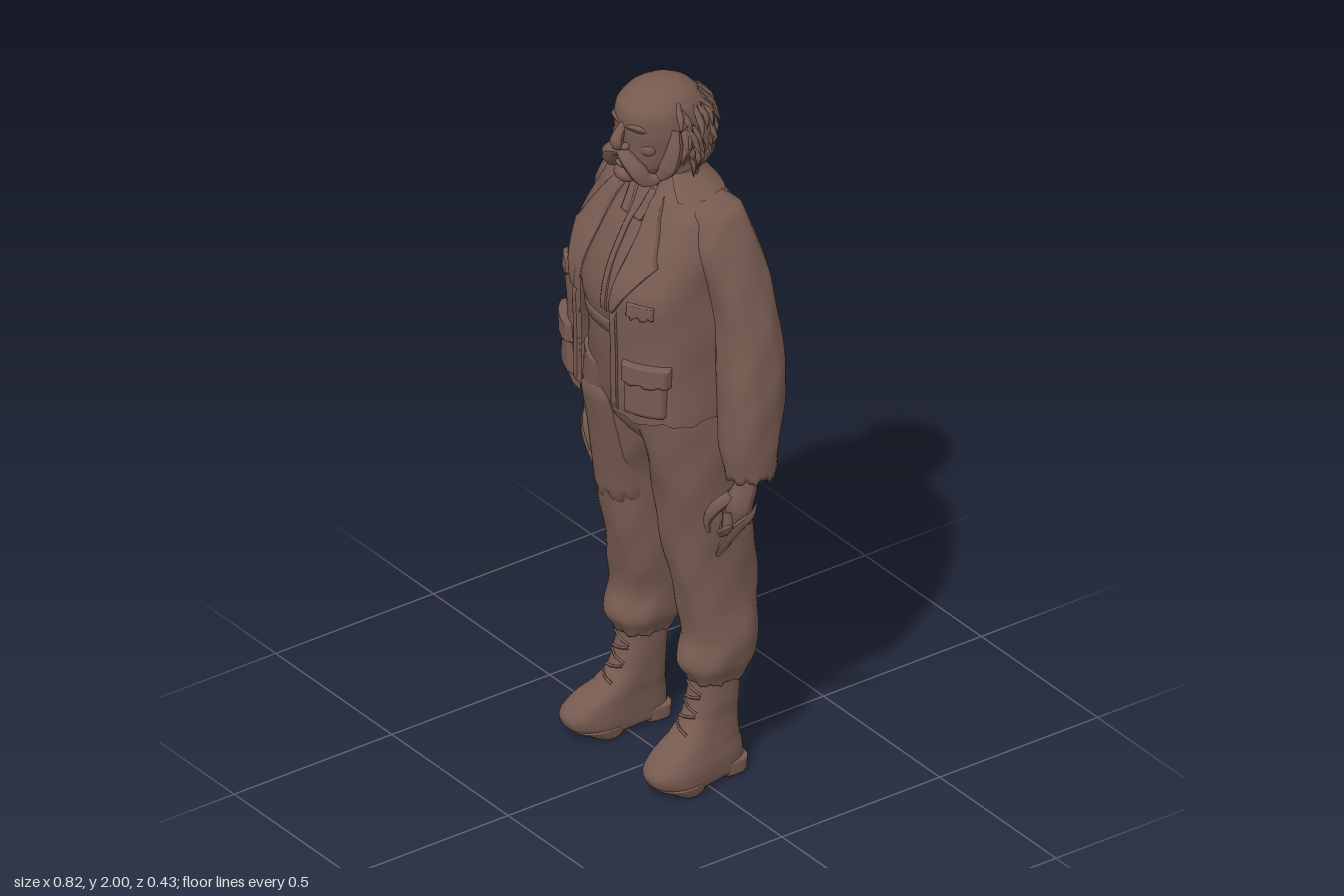
import * as THREE from 'three';

const cloth = new THREE.MeshStandardMaterial({ color: 0x765a50, side: THREE.DoubleSide });
cloth.name = 'brown clay';
const MID = -0.035, TAU = Math.PI * 2;
const flip = x => 2 * MID - x;
const mirror = rows => rows.map(([y, cx, ...rest]) => [y, flip(cx), ...rest]);
const power = (w, e) => Math.sign(w) * Math.abs(w) ** e;
const cubic = (a, b, c, d, t) => b + 0.5 * t * (c - a + t * (2 * a - 5 * b + 4 * c - d + t * (3 * (b - c) + d - a)));
let seed = 7;
const rand = () => (seed = (seed * 16807) % 2147483647) / 2147483647;

// Cross-sections are [y, centre x, half width, front z, back z], listed from the top down.
function section(rows, y) {
  let i = 0;
  while (i < rows.length - 2 && y < rows[i + 1][0]) i++;
  const at = k => rows[Math.min(rows.length - 1, Math.max(0, k))];
  const t = Math.min(1, Math.max(0, (y - rows[i][0]) / (rows[i + 1][0] - rows[i][0])));
  return rows[0].map((_, c) => c ? cubic(at(i - 1)[c], at(i)[c], at(i + 1)[c], at(i + 2)[c], t) : y);
}
function surface(rows, y, a, e, off = 0, fold = 0) {
  const [, cx, rx, zf, zb] = section(rows, y);
  const k = 1 + fold * (Math.sin(3 * a + 21 * y) + 0.7 * Math.sin(5 * a - 33 * y + 1) + 0.5 * Math.sin(9 * a + 8 * y));
  return [cx + (rx + off) * k * power(Math.sin(a), e), y, (zf + zb) / 2 + ((zf - zb) / 2 + off) * k * power(Math.cos(a), e)];
}
function angleAt(rows, x, y, e) {
  const [, cx, rx] = section(rows, y);
  const q = Math.max(-1, Math.min(1, (x - cx) / rx));
  return Math.asin(power(q, 1 / e));
}
function grid(fn, nu, nv, wrap) {
  const pos = [], idx = [], w = wrap ? nu : nu + 1;
  for (let j = 0; j <= nv; j++) for (let i = 0; i < w; i++) pos.push(...fn(i / nu, j / nv));
  for (let j = 0; j < nv; j++) for (let i = 0; i < nu; i++) {
    const a = j * w + i, b = j * w + (i + 1) % w;
    idx.push(a, a + w, b, b, a + w, b + w);
  }
  const g = new THREE.BufferGeometry();
  g.setAttribute('position', new THREE.Float32BufferAttribute(pos, 3));
  g.setIndex(idx);
  g.computeVertexNormals();
  return g;
}
// Closed loft with capped ends, or an open one when from/to angles are given.
function loft(rows, { seg = 44, sub = 6, fold = 0, hem = 0, e = 0.85, off = 0, from, to } = {}) {
  const n = (rows.length - 1) * sub, open = !!from;
  return grid((u, v) => {
    const f = Math.min(n, Math.max(0, v * (n + 2) - 1)), i = Math.min(rows.length - 2, Math.floor(f / sub));
    const y = rows[i][0] + (rows[i + 1][0] - rows[i][0]) * (f / sub - i);
    const a = open ? from(y) + (to(y) - from(y)) * u : u * TAU;
    const p = surface(rows, y, a, e, off, fold);
    if (!open && (v === 0 || v === 1)) { const s = section(rows, y); return [s[1], y, (s[3] + s[4]) / 2]; }
    if (f > n - 2) p[1] += hem * (Math.sin(a * 9) + 0.6 * Math.sin(a * 23));
    return p;
  }, seg, n + 2, !open);
}
// Patch lying on the front of a loft, between two x edges that may vary with height.
function panel(rows, xa, xb, yTop, yLow, off, e = 0.85, rag = 0) {
  const val = (x, v) => typeof x === 'function' ? x(v) : x;
  return grid((u, v) => {
    const y = yTop + (yLow - yTop) * v, x = val(xa, v) + (val(xb, v) - val(xa, v)) * u;
    const rim = u === 0 || u === 1 || v === 0 || v === 1 ? -0.004 : off;
    const p = surface(rows, y, angleAt(rows, x, y, e), e, rim);
    if (v > 0.9) p[1] += rag * (Math.sin(u * 17) + 0.6 * Math.sin(u * 41));
    return p;
  }, 16, 16, false);
}
// Tube whose radius follows a short list.
function taper(points, radii, n = 14, sides = 8) {
  const curve = new THREE.CatmullRomCurve3(points.map(p => new THREE.Vector3(...p)));
  const g = new THREE.TubeGeometry(curve, n, 1, sides), p = g.attributes.position, q = new THREE.Vector3();
  for (let i = 0; i < p.count; i++) {
    const t = Math.floor(i / (sides + 1)) / n, f = t * (radii.length - 1), k = Math.min(radii.length - 2, Math.floor(f));
    const c = curve.getPointAt(t), r = THREE.MathUtils.lerp(radii[k], radii[k + 1], f - k);
    q.fromBufferAttribute(p, i).sub(c).multiplyScalar(r).add(c);
    p.setXYZ(i, q.x, q.y, q.z);
  }
  g.computeVertexNormals();
  return g;
}
// Narrows a boot towards the heel and turns its toe outwards.
function splay(g, side) {
  const p = g.attributes.position, cx = MID + side * 0.175;
  for (let i = 0; i < p.count; i++) {
    const low = THREE.MathUtils.clamp((0.22 - p.getY(i)) / 0.12, 0, 1), z = p.getZ(i);
    const wide = 1 - low * THREE.MathUtils.clamp(0.16 - z * 2, 0, 0.24);
    p.setX(i, cx + (p.getX(i) - cx) * wide + side * low * Math.min(0, z - 0.08) * 0.07);
  }
  g.computeVertexNormals();
  return g;
}
const ball = (x, y, z, rx, ry, rz) => new THREE.SphereGeometry(1, 20, 14).scale(rx, ry, rz).translate(x, y, z);

export function createModel() {
  const root = new THREE.Group();
  const add = (name, geometry) => {
    const m = new THREE.Mesh(geometry, cloth);
    m.name = name;
    root.add(m);
  };

  // Head
  const head = [[2.0, MID, 0.008, 0, -0.02], [1.992, MID, 0.045, 0.04, -0.06], [1.972, MID, 0.077, 0.078, -0.095],
    [1.94, MID, 0.098, 0.108, -0.122], [1.89, MID, 0.104, 0.114, -0.132], [1.84, MID, 0.1, 0.11, -0.125],
    [1.79, MID, 0.088, 0.112, -0.11], [1.755, MID, 0.062, 0.108, -0.1], [1.735, MID, 0.06, 0.07, -0.1],
    [1.7, MID, 0.066, 0.035, -0.105], [1.62, MID, 0.075, 0.03, -0.11]];
  add('head and neck', loft(head, { e: 0.92 }));
  add('nose', taper([[MID, 1.905, 0.106], [MID, 1.875, 0.125], [MID, 1.853, 0.13], [MID, 1.838, 0.108]], [0.01, 0.014, 0.019, 0.012]));
  add('chin', ball(MID, 1.758, 0.1, 0.036, 0.025, 0.03));
  add('lower lip', ball(MID, 1.787, 0.115, 0.022, 0.008, 0.01));
  for (const s of [-1, 1]) {
    const X = d => MID + s * d;
    add('nostril', ball(X(0.017), 1.846, 0.116, 0.011, 0.009, 0.013));
    add('brow', taper([[X(0.008), 1.898, 0.108], [X(0.04), 1.907, 0.101], [X(0.08), 1.892, 0.065]], [0.006, 0.013, 0.004]));
    add('eye', ball(X(0.04), 1.882, 0.093, 0.013, 0.006, 0.01));
    add('cheek', ball(X(0.05), 1.845, 0.07, 0.032, 0.024, 0.026));
    add('ear', ball(X(0.105), 1.86, -0.015, 0.014, 0.036, 0.023));
    add('moustache', taper([[X(-0.004), 1.826, 0.115], [X(0.03), 1.818, 0.12], [X(0.056), 1.79, 0.108], [X(0.07), 1.763, 0.088], [X(0.09), 1.765, 0.05]],
      [0.013, 0.021, 0.025, 0.022, 0.008]));
    add('sideburn', taper([[X(0.1), 1.9, 0.015], [X(0.104), 1.84, 0.025], [X(0.094), 1.785, 0.042], [X(0.075), 1.752, 0.07]], [0.012, 0.023, 0.026, 0.006]));
  }

  // Ragged hair round the sides and back
  const hairRows = [[1.955, MID, 0.09, 0.09, -0.112], [1.92, MID, 0.11, 0.11, -0.138], [1.86, MID, 0.117, 0.11, -0.146],
    [1.79, MID, 0.11, 0.09, -0.138], [1.745, MID, 0.088, 0.06, -0.115]];
  add('hair', loft(hairRows, { from: y => 1.75 + Math.max(0, y - 1.9) * 9, to: y => TAU - 1.75 - Math.max(0, y - 1.9) * 9, hem: 0.01, fold: 0.016 }));
  for (let i = 0; i < 120; i++) {
    const a = 1.5 + rand() * (TAU - 3), y = 1.945 - Math.floor(i / 40) * 0.055 + (rand() - 0.5) * 0.04;
    const len = 0.05 + rand() * 0.055, twist = a + (rand() - 0.5) * 0.45, flare = rand() ** 2 * 0.024;
    add('hair tuft', taper([surface(hairRows, y, a, 0.9, -0.008), surface(hairRows, y - len * 0.5, (a + twist) / 2, 0.9, 0.004),
      surface(hairRows, y - len, twist, 0.9, flare)], [0.006, 0.01, 0.0005], 6, 5));
  }

  // Shirt
  const shirt = [[1.72, MID, 0.07, 0.035, -0.1], [1.68, MID, 0.11, 0.05, -0.12], [1.6, MID, 0.17, 0.1, -0.15], [1.5, MID, 0.2, 0.15, -0.17],
    [1.4, MID, 0.205, 0.172, -0.17], [1.33, MID, 0.2, 0.162, -0.17]];
  add('shirt', loft(shirt, { fold: 0.005 }));
  add('shirt placket', panel(shirt, -0.046, -0.024, 1.64, 1.36, 0.003));
  for (const s of [-1, 1]) add('shirt collar', panel(shirt, v => MID + s * (0.022 - v * 0.012), v => MID + s * (0.06 - v * 0.02), 1.7, 1.62, 0.006));

  // Open jacket
  const E = 0.73;
  const jacket = [[1.755, MID, 0.085, 0.02, -0.1], [1.73, MID, 0.11, 0.035, -0.118], [1.7, MID, 0.155, 0.055, -0.138], [1.66, MID, 0.2, 0.085, -0.16],
    [1.58, MID, 0.228, 0.135, -0.182], [1.5, MID, 0.23, 0.185, -0.194], [1.44, MID, 0.232, 0.202, -0.198], [1.3, MID, 0.24, 0.198, -0.203], [1.11, MID, 0.25, 0.196, -0.213]];
  const gap = y => 0.068 - Math.max(0, y - 1.62) * 0.15;
  const edge = (s, y) => MID + s * gap(y);
  add('jacket', loft(jacket, { seg: 90, e: E, fold: 0.008, hem: 0.005,
    from: y => angleAt(jacket, edge(1, y), y, E), to: y => TAU + angleAt(jacket, edge(-1, y), y, E) }));
  add('jacket collar', loft(jacket.slice(0, 3), { e: E, off: 0.006, from: () => 0.85, to: () => TAU - 0.85, hem: 0.002 }));
  for (const s of [-1, 1]) {
    const width = v => v < 0.5 ? 0.03 + v * 0.13 : 0.095 * (1 - v) / 0.5 + 0.006;
    add('lapel', panel(jacket, v => edge(s, 1.71 - 0.31 * v), v => edge(s, 1.71 - 0.31 * v) + s * width(v), 1.71, 1.4, 0.012, E));
    add('front edge', panel(jacket, edge(s, 1.3), edge(s, 1.3) + s * 0.022, 1.42, 1.12, 0.008, E));
    add('hip pocket', panel(jacket, MID + s * 0.11, MID + s * 0.215, 1.26, 1.13, 0.01, E));
    add('pocket flap', panel(jacket, MID + s * 0.105, MID + s * 0.22, 1.285, 1.225, 0.018, E, 0.004));
    add('breast pocket', panel(jacket, MID + s * 0.12, MID + s * 0.19, 1.46, 1.42, 0.009, E, 0.006));
  }

  // Sleeves
  const sleeve = [[1.705, -0.17, 0.03, -0.03, -0.1], [1.68, -0.2, 0.067, 0.01, -0.13], [1.6, -0.225, 0.084, 0.03, -0.152], [1.5, -0.26, 0.086, 0.01, -0.163],
    [1.35, -0.303, 0.082, -0.005, -0.172], [1.2, -0.326, 0.08, 0.008, -0.167], [1.05, -0.343, 0.067, 0.015, -0.145], [0.955, -0.348, 0.058, 0.003, -0.13]];
  const sides = [['right', -1, r => r, x => x], ['left', 1, mirror, flip]];
  for (const [side, dir, turn, X] of sides) {
    add(side + ' sleeve', loft(turn(sleeve), { fold: 0.02, hem: 0.007 }));

    // Hands
    const lift = side === 'left' ? 0.05 : 0;
    add(side + ' palm', taper([[X(-0.35), 1.0, -0.06], [X(-0.35), 0.93, -0.05], [X(-0.338), 0.87, -0.035], [X(-0.33), 0.8, -0.03]], [0.03, 0.03, 0.039, 0.022], 16, 12));
    for (let f = 0; f < 4; f++) {
      const z = 0.003 - f * 0.022, low = 0.705 + lift + Math.abs(f - 1.3) * 0.014;
      add(side + ' finger', taper([[X(-0.338), 0.86, z * 0.8], [X(-0.337), 0.8, z], [X(-0.326), low + 0.04, z - 0.003], [X(-0.307), low, z - 0.002]], [0.013, 0.015, 0.013, 0.005]));
    }
    add(side + ' thumb', taper([[X(-0.335), 0.9, -0.015], [X(-0.305), 0.855, 0.02], [X(-0.287), 0.815, 0.028], [X(-0.288), 0.78, 0.025]], [0.016, 0.018, 0.014, 0.005]));

    // Boots
    const boot = [[0.34, -0.19, 0.054, 0, -0.135], [0.25, -0.19, 0.052, 0.005, -0.13], [0.18, -0.193, 0.053, 0.03, -0.128], [0.135, -0.2, 0.06, 0.075, -0.13],
      [0.105, -0.208, 0.066, 0.13, -0.133], [0.07, -0.214, 0.072, 0.163, -0.138], [0.04, -0.215, 0.073, 0.158, -0.138], [0.02, -0.215, 0.071, 0.13, -0.136], [0.01, -0.215, 0.066, 0.09, -0.134]];
    const b = turn(boot);
    add(side + ' boot', splay(loft(b, { e: 0.78, fold: 0.006 }), dir));
    add(side + ' sole', splay(loft(turn([[0.03, -0.215, 0.073, 0.15, -0.03], [0.0, -0.215, 0.068, 0.1, 0]]), { e: 0.8 }), dir));
    add(side + ' heel', splay(loft(turn([[0.04, -0.215, 0.068, -0.05, -0.142], [0, -0.215, 0.066, -0.055, -0.14]]), { e: 0.6 }), dir));
    for (let i = 0; i < 6; i++) {
      const y = 0.16 + i * 0.025, cx = section(b, y)[1], d = i % 2 ? 0.008 : -0.008;
      add(side + ' lace', splay(taper([-0.03, 0, 0.03].map(q => surface(b, y + d * q / 0.03, angleAt(b, cx + q, y, 0.78), 0.78, 0.001)), [0.004, 0.004], 6, 6), dir));
    }
  }

  // Two-pronged blade in the left hand
  add('handle', taper([[0.25, 0.725, 0.02], [0.275, 0.765, 0.02], [0.31, 0.82, 0.02]], [0.006, 0.014, 0.013]));
  add('long blade', taper([[0.29, 0.79, 0.02], [0.345, 0.86, 0.018], [0.385, 0.905, 0.014], [0.408, 0.955, 0.01]], [0.014, 0.015, 0.011, 0.001]));
  add('short blade', taper([[0.28, 0.81, 0.03], [0.32, 0.842, 0.042], [0.362, 0.875, 0.052]], [0.012, 0.012, 0.002]));

  // Trousers
  const hips = [[1.35, MID, 0.19, 0.155, -0.165], [1.22, MID, 0.21, 0.148, -0.178], [1.1, MID, 0.228, 0.128, -0.186], [1.02, MID, 0.2, 0.105, -0.17],
    [0.97, MID, 0.14, 0.07, -0.14], [0.93, MID, 0.06, 0.02, -0.09]];
  add('trouser seat', loft(hips, { fold: 0.006 }));
  add('waistband', loft([[1.345, MID, 0.2, 0.168, -0.17], [1.305, MID, 0.2, 0.162, -0.17]], { sub: 2 }));
  const legs = {
    right: [[1.16, -0.14, 0.115, 0.13, -0.175], [1.06, -0.148, 0.116, 0.12, -0.183], [0.95, -0.151, 0.11, 0.1, -0.168], [0.8, -0.167, 0.086, 0.078, -0.174], [0.65, -0.172, 0.092, 0.056, -0.188],
      [0.5, -0.18, 0.09, 0.03, -0.19], [0.41, -0.19, 0.09, 0.015, -0.182], [0.34, -0.191, 0.091, 0.036, -0.168], [0.285, -0.19, 0.068, 0.01, -0.145]],
    left: [[1.16, 0.07, 0.115, 0.13, -0.175], [1.06, 0.08, 0.118, 0.12, -0.183], [0.95, 0.089, 0.111, 0.1, -0.168], [0.8, 0.094, 0.098, 0.078, -0.174], [0.65, 0.098, 0.09, 0.056, -0.188],
      [0.5, 0.11, 0.08, 0.03, -0.19], [0.41, 0.118, 0.088, 0.015, -0.182], [0.34, 0.12, 0.084, 0.036, -0.168], [0.285, 0.122, 0.064, 0.01, -0.145]],
  };
  for (const side in legs) add(side + ' trouser leg', loft(legs[side], { fold: 0.02, hem: 0.004, sub: 8 }));
  add('torn thigh patch', panel(legs.right, -0.21, -0.09, 1.08, 0.715, 0.01, 0.85, 0.008));
  return root;
}
